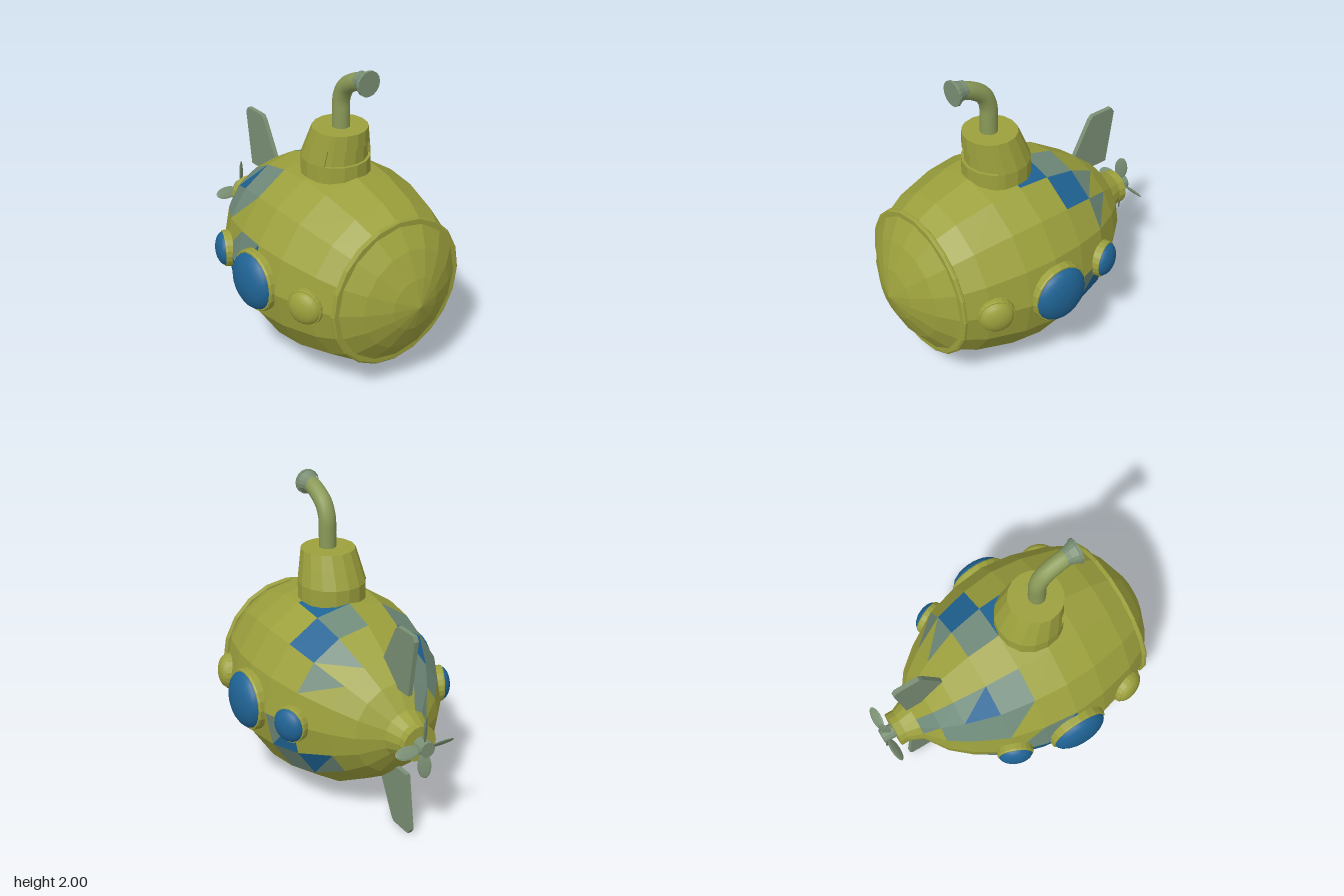
import * as THREE from 'three';

const AXIS_Y = 0.668; // height of the hull's long axis
const mat = (color, flatShading = true) => new THREE.MeshStandardMaterial({ color, flatShading });
const OLIVE = mat(0x9ca03c), SLATE = mat(0x6f8a7a), BLUE = mat(0x1f6394);
const OLIVE_SMOOTH = mat(0x9ca03c, false), BLUE_SMOOTH = mat(0x1f6394, false);
const FIN = mat(0x7a8f74), PIPE = mat(0x8a9a58, false);

function add(parent, name, geometry, material) {
  const mesh = new THREE.Mesh(geometry, material);
  mesh.name = name;
  parent.add(mesh);
  return mesh;
}

// Lathe from [radius, height] pairs
const lathe = (pairs, sides) =>
  new THREE.LatheGeometry(pairs.map(([r, h]) => new THREE.Vector2(r, h)), sides);
// The same, turned along z and lifted to the hull axis
const latheZ = (pairs, sides) => lathe(pairs, sides).rotateX(Math.PI / 2).translate(0, AXIS_Y, 0);

// Faceted egg-shaped hull, its panels painted in patches
function makeHull() {
  const geo = latheZ([
    [0, -0.84], [0.11, -0.84], [0.155, -0.74], [0.3, -0.64], [0.41, -0.51], [0.54, -0.3],
    [0.605, -0.08], [0.632, 0.14], [0.61, 0.35], [0.54, 0.6], [0.46, 0.755],
    [0.33, 0.85], [0.17, 0.925], [0, 0.975],
  ], 16).toNonIndexed();
  const p = geo.attributes.position;
  for (let i = 0; i < p.count; i += 3) {
    const mean = (get) => (p[get](i) + p[get](i + 1) + p[get](i + 2)) / 3;
    const x = mean('getX'), y = mean('getY'), z = mean('getZ');
    const patch = Math.sin(7 * x + 5 * z) + Math.sin(9 * y - 6 * z + 2) - 2.5 * Math.abs(z + 0.1);
    geo.addGroup(i, 3, patch > 0.85 ? 2 : patch > 0.2 ? 1 : 0);
  }
  return geo;
}

// Tower: vertical front, sloping back, window slot sunk into the front
function makeTower() {
  const columns = [[-56, 0], [-56, 1]];
  for (let a = -45; a <= 45; a += 22.5) columns.push([a, 1]);
  columns.push([56, 1], [56, 0]);
  for (let a = 67.5; a <= 292.5; a += 22.5) columns.push([a, 0]);
  const rings = [ // height, radius, centre z, inset
    [1.2, 0.217, 0.138, 0], [1.36, 0.217, 0.138, 0], [1.36, 0.217, 0.138, 0.018],
    [1.465, 0.195, 0.16, 0.018], [1.465, 0.195, 0.16, 0], [1.565, 0.173, 0.182, 0],
    [1.565, 0, 0.182, 0],
  ];
  const pos = [], index = [], n = columns.length;
  rings.forEach(([y, r, zc, inset], j) => columns.forEach(([deg, inSlot], i) => {
    const a = THREE.MathUtils.degToRad(deg), q = r - inset * inSlot;
    pos.push(q * Math.sin(a), y, zc + q * Math.cos(a));
    if (j === 0) return;
    const k = (i + 1) % n, lo = (j - 1) * n, hi = j * n;
    index.push(lo + i, lo + k, hi + k, lo + i, hi + k, hi + i);
  }));
  const geo = new THREE.BufferGeometry();
  geo.setAttribute('position', new THREE.Float32BufferAttribute(pos, 3));
  geo.setIndex(index);
  geo.computeVertexNormals();
  return geo;
}

// Porthole facing its own +x: flange and domed glass
function makePorthole(name, r, h, glass) {
  const g = new THREE.Group();
  g.name = name;
  const flange = [[0, -0.06], [r, -0.06], [r, 0.008], [r * 0.97, 0.018], [r * 0.85, 0.018]];
  const dome = [];
  for (let i = 0; i <= 6; i++) {
    const a = (i / 6) * Math.PI / 2;
    dome.push([r * 0.93 * Math.cos(a), 0.01 + (h - 0.01) * Math.sin(a)]);
  }
  add(g, 'portholeFlange', lathe(flange, 20).rotateZ(-Math.PI / 2), OLIVE);
  add(g, 'portholeGlass', lathe(dome, 20).rotateZ(-Math.PI / 2), glass);
  return g;
}

export function createModel() {
  const model = new THREE.Group();
  model.name = 'submarine';

  add(model, 'hull', makeHull(), [OLIVE, SLATE, BLUE]);
  add(model, 'noseRing', latheZ([
    [0.42, 0.73], [0.48, 0.73], [0.492, 0.738], [0.492, 0.752], [0.48, 0.762], [0.42, 0.762],
  ], 20), OLIVE);
  add(model, 'tower', makeTower(), OLIVE);

  // Periscope: bent pipe and flared, closed mouth
  const periscope = new THREE.Group();
  periscope.name = 'periscope';
  model.add(periscope);
  const path = new THREE.CatmullRomCurve3([
    [1.53, 0.19], [1.65, 0.19], [1.75, 0.193], [1.83, 0.23], [1.882, 0.3], [1.908, 0.36], [1.916, 0.4],
  ].map(([y, z]) => new THREE.Vector3(0, y, z)));
  add(periscope, 'periscopePipe', new THREE.TubeGeometry(path, 20, 0.055, 14), PIPE);
  const mouth = add(periscope, 'periscopeMouth', lathe([
    [0.054, -0.09], [0.058, -0.06], [0.072, -0.018], [0.08, -0.016], [0.08, 0], [0, 0],
  ], 16).rotateX(Math.PI / 2), FIN);
  mouth.position.set(0, 1.92, 0.452);

  // Portholes, three on each side
  for (const s of [1, -1]) {
    const side = s > 0 ? 'left' : 'right';
    for (const [label, x, z, r, h, tilt, glass] of [
      ['Front', 0.546, 0.565, 0.118, 0.07, 0.4, OLIVE_SMOOTH],
      ['Middle', 0.62, 0.135, 0.2, 0.097, 0, BLUE_SMOOTH],
      ['Rear', 0.546, -0.295, 0.118, 0.07, -0.4, BLUE_SMOOTH],
    ]) {
      const port = makePorthole(side + label + 'Porthole', r, h, glass);
      port.position.set(s * x, AXIS_Y + 0.006, z);
      port.rotation.y = s > 0 ? -tilt : Math.PI + tilt;
      model.add(port);
    }
  }

  // Tail fins above and below, outlined as [distance aft, height off the axis]
  const outline = [
    [0.44, 0.27], [0.505, 0.425], [0.622, 0.645], [0.645, 0.668],
    [0.805, 0.668], [0.826, 0.635], [0.772, 0.268],
  ].map(([a, h]) => new THREE.Vector2(a, h));
  for (const up of [1, -1]) {
    const fin = add(model, up > 0 ? 'upperFin' : 'lowerFin',
      new THREE.ExtrudeGeometry(new THREE.Shape(outline), { depth: 0.03, bevelEnabled: false })
        .translate(0, 0, -0.015).rotateY(Math.PI / 2), FIN);
    fin.position.y = AXIS_Y;
    if (up < 0) fin.rotation.z = Math.PI;
  }

  // Tail collar and four-bladed propeller
  add(model, 'tailCollar', latheZ([[0, -0.887], [0.115, -0.887], [0.115, -0.835], [0, -0.835]], 16), OLIVE);
  const propeller = new THREE.Group();
  propeller.name = 'propeller';
  propeller.position.set(0, AXIS_Y, -0.94);
  model.add(propeller);
  add(propeller, 'propellerHub', new THREE.CylinderGeometry(0.05, 0.05, 0.09, 12).rotateX(Math.PI / 2), FIN)
    .position.z = 0.012;
  for (let i = 0; i < 4; i++) {
    const blade = add(propeller, 'propellerBlade', new THREE.SphereGeometry(1, 8, 8)
      .scale(0.043, 0.085, 0.009).rotateY(Math.PI / 4).translate(0, 0.122, 0), FIN);
    blade.rotation.z = i * Math.PI / 2;
  }
  return model;
}
